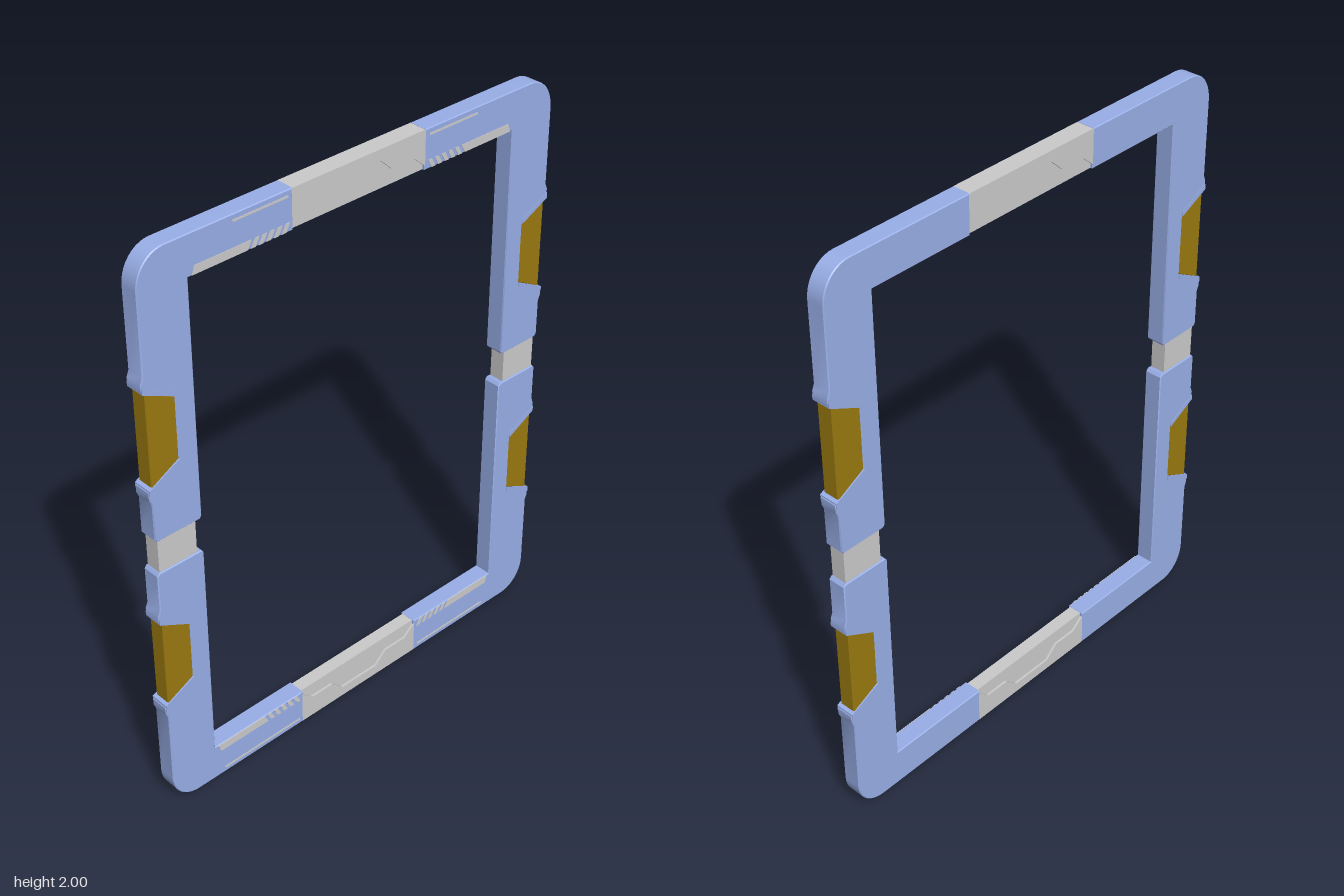
import * as THREE from 'three';
import { toCreasedNormals } from 'three/addons/utils/BufferGeometryUtils.js';

const blue = new THREE.MeshStandardMaterial({ color: 0x99afe8 });
const gold = new THREE.MeshStandardMaterial({ color: 0x9b7a10 });
const grey = new THREE.MeshStandardMaterial({ color: 0xcccccc });

// Extrudes an outline along z from z0 to z1; the outline is given for the upper +x
// quarter (y measured from mid-height) and mirrored by the signs sx and sy.
function plate(name, points, z0, z1, material, sx = 1, sy = 1, bevel = 0) {
  const shape = new THREE.Shape(points.map(([x, y]) => new THREE.Vector2(x * sx, y * sy)));
  const geometry = new THREE.ExtrudeGeometry(shape, {
    depth: z1 - z0 - 2 * bevel,
    bevelEnabled: bevel > 0,
    bevelSize: bevel,
    bevelThickness: bevel,
    bevelOffset: -bevel,
    bevelSegments: 1,
  });
  geometry.translate(0, 1, z0 + bevel);
  const mesh = new THREE.Mesh(toCreasedNormals(geometry, 0.5), material);
  mesh.name = name;
  return mesh;
}

const rect = (x0, y0, x1, y1) => [[x0, y0], [x1, y0], [x1, y1], [x0, y1]];

export function createModel() {
  const group = new THREE.Group();
  group.name = 'frame';

  // Rounded outer corner
  const corner = [];
  for (let i = 0; i <= 10; i++) {
    const a = (Math.PI / 2) * (1 - i / 10);
    corner.push([0.708 + 0.1 * Math.cos(a), 0.89 + 0.11 * Math.sin(a)]);
  }

  // L-shaped corner section with a notch for the grip
  const section = [
    [0.258, 1], ...corner,
    [0.808, 0.625], [0.816, 0.605], [0.816, 0.582], [0.808, 0.57],
    [0.704, 0.52], [0.704, 0.305],
    [0.808, 0.25], [0.816, 0.24], [0.816, 0.215], [0.808, 0.195],
    [0.808, 0.068], [0.8, 0.058], [0.642, 0.058], [0.634, 0.068],
    [0.634, 0.868], [0.258, 0.868],
  ];
  const grip = [[0.803, 0.57], [0.7, 0.52], [0.7, 0.305], [0.803, 0.25]];

  for (const sx of [1, -1]) {
    for (const sy of [1, -1]) {
      const quarter = new THREE.Group();
      quarter.name = `${sy > 0 ? 'upper' : 'lower'}${sx > 0 ? 'Left' : 'Right'}Quarter`;
      group.add(quarter);

      quarter.add(plate('cornerSection', section, -0.032, 0.032, blue, sx, sy, 0.003));
      quarter.add(plate('grip', grip, -0.03, 0.03, gold, sx, sy, 0.004));

      // Raised lips along the slanted notch ends
      const lips = [
        [[0.814, 0.592], [0.704, 0.538], [0.704, 0.52], [0.814, 0.573]],
        [[0.814, 0.247], [0.704, 0.305], [0.704, 0.288], [0.814, 0.23]],
      ];
      for (const lip of lips) {
        quarter.add(plate('notchLip', lip, -0.0335, 0.0335, blue, sx, sy));
      }

      // Front trim: inner bar, slanted slashes and thin outer line
      const z0 = 0.03, z1 = 0.0335;
      const bar = [[0.425, 0.87], [0.622, 0.87], [0.612, 0.898], [0.41, 0.898]];
      quarter.add(plate('trimBar', bar, z0, z1, grey, sx, sy));
      for (let i = 0; i < 5; i++) {
        const x = 0.285 + i * 0.028;
        const slash = [[x, 0.87], [x + 0.016, 0.87], [x + 0.001, 0.898], [x - 0.015, 0.898]];
        quarter.add(plate('trimSlash', slash, z0, z1, grey, sx, sy));
      }
      const lineEnd = sy > 0 ? 0.475 : 0.6;
      quarter.add(plate('trimLine', rect(0.275, 0.976, lineEnd, 0.983), z0, z1, grey, sx, sy));
    }

    // Side connector between the upper and lower sections
    quarterLink(group, sx);
  }

  // Top and bottom bridges: full-depth outer part over a recessed stepped panel
  const step = [
    [-0.26, 0.882], [-0.215, 0.92], [-0.125, 0.92], [-0.078, 0.963],
    [0.078, 0.963], [0.125, 0.92], [0.215, 0.92], [0.26, 0.882],
  ];
  for (const sy of [1, -1]) {
    const bridge = new THREE.Group();
    bridge.name = sy > 0 ? 'topBridge' : 'bottomBridge';
    bridge.add(plate('bridgeOuter', [[-0.26, 0.999], ...step, [0.26, 0.999]], -0.031, 0.031, grey, 1, sy));
    bridge.add(plate('bridgePanel', [[-0.26, 0.869], ...step, [0.26, 0.869]], -0.023, 0.023, grey, 1, sy));
    group.add(bridge);
  }
  return group;
}

function quarterLink(group, sx) {
  group.add(plate(sx > 0 ? 'leftConnector' : 'rightConnector',
    rect(0.656, -0.07, 0.797, 0.07), -0.027, 0.027, grey, sx));
}
